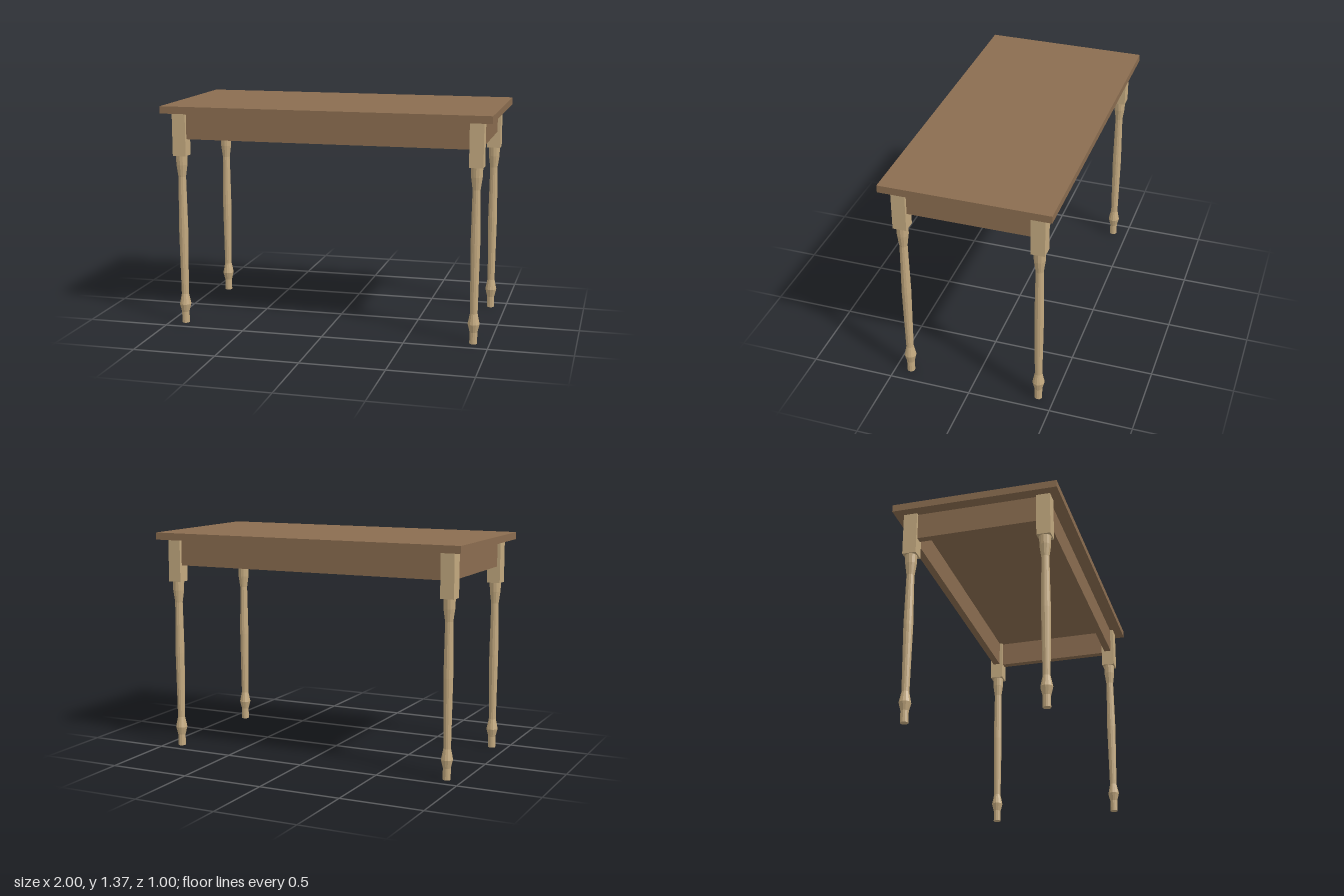
import * as THREE from 'three';

export function createModel() {
  const table = new THREE.Group();
  table.name = 'table';

  const darkWood = new THREE.MeshStandardMaterial({ color: 0x8b6d50 });
  darkWood.name = 'dark wood';
  const paleWood = new THREE.MeshStandardMaterial({ color: 0xc4aa80 });
  paleWood.name = 'pale wood';

  function box(name, w, h, d, x, y, z, material, parent = table) {
    const mesh = new THREE.Mesh(new THREE.BoxGeometry(w, h, d), material);
    mesh.name = name;
    mesh.position.set(x, y, z);
    parent.add(mesh);
  }

  // Table top
  box('tableTop', 2, 0.044, 1, 0, 1.343, 0, darkWood);

  // Aprons run between the leg blocks, set in from their outer faces
  const legX = 0.904, legZ = 0.405, block = 0.083;
  const apronY = 1.2405, apronH = 0.161, apronT = 0.044;
  for (const s of [1, -1]) {
    box(s > 0 ? 'frontApron' : 'backApron', 2 * legX - block, apronH, apronT, 0, apronY, s * legZ, darkWood);
    box(s > 0 ? 'leftApron' : 'rightApron', apronT, apronH, 2 * legZ - block, s * legX, apronY, 0, darkWood);
  }

  // Turned leg profile: radius, height
  const profile = [
    [0, 0], [0.0235, 0], [0.0235, 0.07], [0.036, 0.12], [0.0225, 0.185],
    [0.0285, 0.6], [0.0235, 0.925], [0.034, 1.0], [0.036, 1.058],
  ].map(([r, y]) => new THREE.Vector2(r, y));

  // Flat facets around the turning
  const turning = new THREE.LatheGeometry(profile, 12).toNonIndexed();
  turning.computeVertexNormals();

  // Four legs, each a turned shaft under a square block
  for (const sx of [1, -1]) {
    for (const sz of [1, -1]) {
      const leg = new THREE.Group();
      leg.name = (sz > 0 ? 'front' : 'back') + (sx > 0 ? 'Left' : 'Right') + 'Leg';
      leg.position.set(sx * legX, 0, sz * legZ);
      const shaft = new THREE.Mesh(turning, paleWood);
      shaft.name = 'turnedShaft';
      leg.add(shaft);
      box('legBlock', block, 0.264, block, 0, 1.189, 0, paleWood, leg);
      table.add(leg);
    }
  }
  return table;
}
